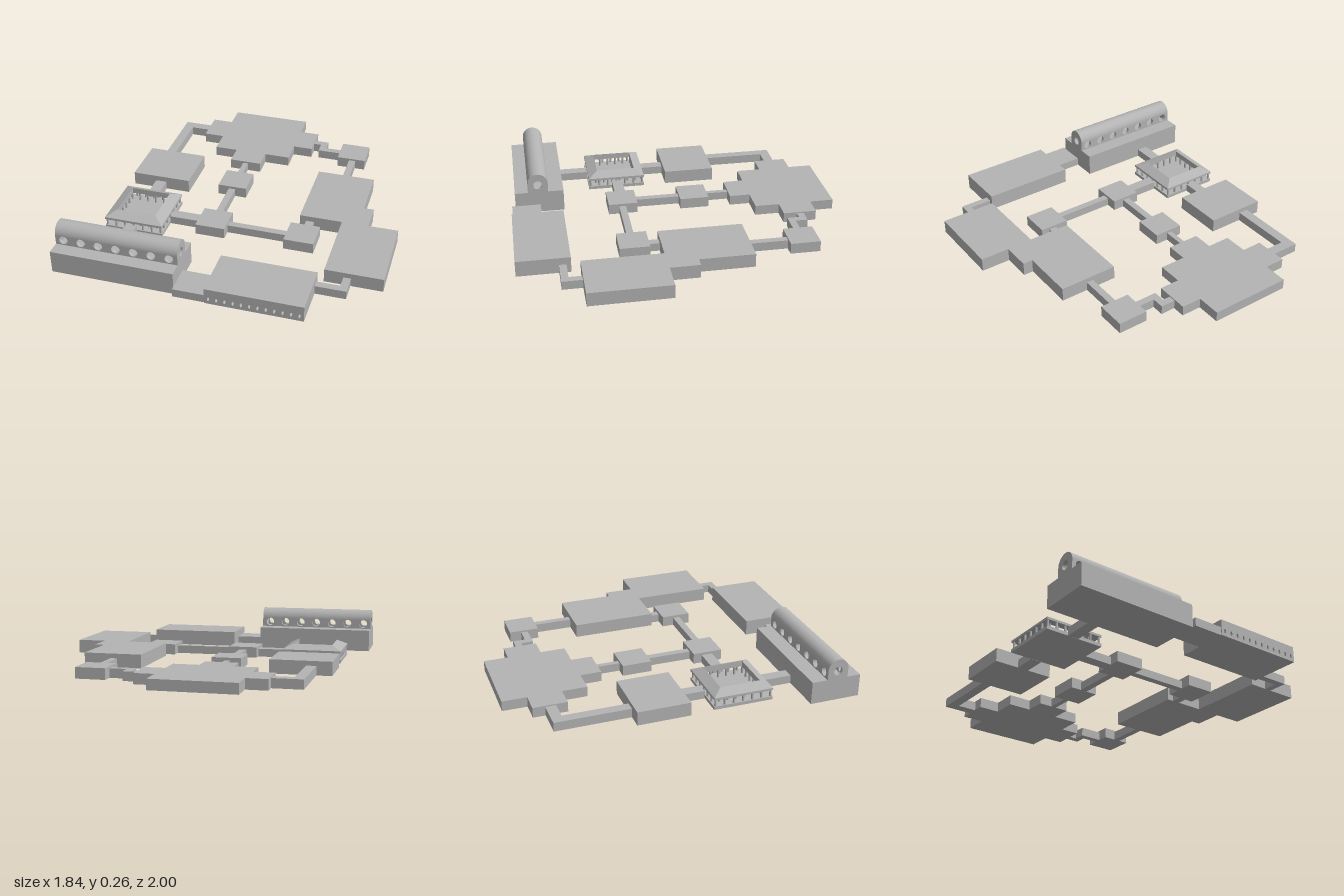
import * as THREE from 'three';

const stone = new THREE.MeshStandardMaterial({ color: 0xb4b4b4 });
stone.name = 'grey stone';

export function createModel() {
  const model = new THREE.Group();
  model.name = 'complex';

  const add = (name, geometry, parent = model) => {
    const mesh = new THREE.Mesh(geometry, stone);
    mesh.name = name;
    parent.add(mesh);
    return mesh;
  };
  // box from its extents
  const block = (name, x0, x1, z0, z1, y1, y0 = 0, parent = model) =>
    add(name, new THREE.BoxGeometry(x1 - x0, y1 - y0, z1 - z0)
      .translate((x0 + x1) / 2, (y0 + y1) / 2, (z0 + z1) / 2), parent);
  // vertical prism from a floor outline of [x, z] points
  const prism = (name, outline, height) => {
    const shape = new THREE.Shape(outline.map(([x, z]) => new THREE.Vector2(x, -z)));
    return add(name, new THREE.ExtrudeGeometry(shape, { depth: height, bevelEnabled: false })
      .rotateX(-Math.PI / 2));
  };
  const rect = (x0, x1, y0, y1) => new THREE.Shape([
    new THREE.Vector2(x0, y0), new THREE.Vector2(x1, y0),
    new THREE.Vector2(x1, y1), new THREE.Vector2(x0, y1)]);
  const punch = (shape, x, y, rx, ry) => {
    const hole = new THREE.Path();
    hole.absellipse(x, y, rx, ry, 0, Math.PI * 2, true);
    shape.holes.push(hole);
  };
  const extrude = (shape, depth) =>
    new THREE.ExtrudeGeometry(shape, { depth, bevelEnabled: false, curveSegments: 16 });

  // stepped cross room
  prism('crossRoom', [
    [-0.417, -1], [0.084, -1], [0.084, -0.853], [0.206, -0.853], [0.206, -0.65],
    [0.084, -0.65], [0.084, -0.5], [-0.074, -0.5], [-0.074, -0.373], [-0.274, -0.373],
    [-0.274, -0.5], [-0.417, -0.5], [-0.417, -0.65], [-0.543, -0.65],
    [-0.543, -0.853], [-0.417, -0.853]], 0.062);

  // large joined rooms on the left side
  prism('doubleRoom', [
    [0.325, -0.355], [0.682, -0.355], [0.682, -0.024], [0.742, -0.024], [0.742, 0.153],
    [0.92, 0.153], [0.92, 0.635], [0.582, 0.635], [0.582, 0.157], [0.325, 0.157]], 0.083);

  block('rightRoom', -0.812, -0.445, -0.333, -0.016, 0.083);

  // four small square rooms
  for (const [x, z] of [[-0.168, -0.144], [-0.168, 0.31], [0.375, 0.31], [0.488, -0.68]]) {
    block('smallRoom', x - 0.09, x + 0.09, z - 0.09, z + 0.09, 0.066);
  }

  // straight passages: x0, x1, z0, z1, height
  for (const p of [
    [0.475, 0.517, -0.59, -0.355, 0.055],
    [-0.19, -0.158, -0.373, -0.234, 0.05],
    [-0.19, -0.148, -0.054, 0.22, 0.05],
    [-0.44, -0.258, 0.272, 0.34, 0.05],
    [-0.078, 0.285, 0.292, 0.335, 0.05],
    [0.364, 0.412, 0.157, 0.22, 0.05],
    [-0.665, -0.597, -0.016, 0.125, 0.05],
    [-0.665, -0.597, 0.49, 0.67, 0.05],
    [-0.19, -0.005, 0.817, 0.995, 0.05],
  ]) block('passage', ...p);

  // bent passages
  prism('bentPassage', [[-0.72, -0.78], [-0.543, -0.78], [-0.543, -0.718], [-0.66, -0.718],
    [-0.66, -0.333], [-0.72, -0.333]], 0.055);
  prism('bentPassage', [[0.206, -0.775], [0.295, -0.775], [0.295, -0.7], [0.398, -0.7],
    [0.398, -0.658], [0.253, -0.658], [0.253, -0.732], [0.206, -0.732]], 0.055);
  prism('bentPassage', [[0.692, 0.635], [0.735, 0.635], [0.735, 0.755], [0.557, 0.755],
    [0.557, 0.712], [0.692, 0.712]], 0.052);

  // front room with a row of small oval niches
  block('frontRoom', -0.005, 0.557, 0.686, 0.97, 0.096);
  const facade = rect(-0.005, 0.557, 0, 0.096);
  for (let i = 0; i < 12; i++) punch(facade, 0.02 + i * 0.0466, 0.031, 0.007, 0.0135);
  add('nicheWall', extrude(facade, 0.03).translate(0, 0, 0.97));

  // great hall with a pierced, vaulted gallery on top
  const hall = new THREE.Group();
  hall.name = 'greatHall';
  model.add(hall);
  const x0 = -0.923, x1 = -0.19, baseTop = 0.137, spring = 0.195, r = 0.063, wall = 0.02, zc = 0.828;
  block('hallBase', x0, x1, 0.67, 0.973, baseTop, 0, hall);
  const side = rect(x0, x1, baseTop, spring);
  for (let i = 0; i < 7; i++) punch(side, -0.874 + i * 0.1057, 0.169, 0.026, 0.026);
  for (const z of [zc - r, zc + r - wall]) {
    add('galleryWall', extrude(side, wall).translate(0, 0, z), hall);
  }
  const vault = new THREE.Shape();
  vault.absarc(0, spring, r, 0, Math.PI, false);
  vault.absarc(0, spring, r - wall, Math.PI, 0, true);
  add('galleryVault', extrude(vault, x1 - x0).rotateY(Math.PI / 2).translate(x0, 0, zc), hall);
  const cap = new THREE.Shape();
  cap.moveTo(-r, baseTop);
  cap.lineTo(r, baseTop);
  cap.absarc(0, spring, r, 0, Math.PI, false);
  punch(cap, 0, 0.185, 0.027, 0.027);
  for (const x of [x0, x1 - wall]) {
    add('galleryEnd', extrude(cap, wall).rotateY(Math.PI / 2).translate(x, 0, zc), hall);
  }

  // open courtyard ringed by a sloping roof on columns
  const court = new THREE.Group();
  court.name = 'courtyard';
  court.position.set(-0.62, 0, 0.308);
  model.add(court);
  block('courtFloor', -0.181, 0.181, -0.181, 0.181, 0.02, 0, court);
  const profile = [[0.122, 0.068], [0.181, 0.06], [0.181, 0.074], [0.122, 0.104], [0.122, 0.068]]
    .map(([d, y]) => new THREE.Vector2(d * Math.SQRT2, y));
  const roof = new THREE.LatheGeometry(profile, 4, Math.PI / 4).toNonIndexed();
  roof.computeVertexNormals();
  add('courtRoof', roof, court);
  for (const [d, n] of [[0.17, 6], [0.13, 5]]) {
    for (let s = 0; s < 4; s++) {
      for (let i = 0; i < n; i++) {
        const column = add('column', new THREE.CylinderGeometry(0.007, 0.007, 0.048, 8), court);
        const along = -d + (2 * d * i) / n, a = s * Math.PI / 2;
        column.position.set(along * Math.cos(a) + d * Math.sin(a), 0.043,
          d * Math.cos(a) - along * Math.sin(a));
      }
    }
  }
  return model;
}
